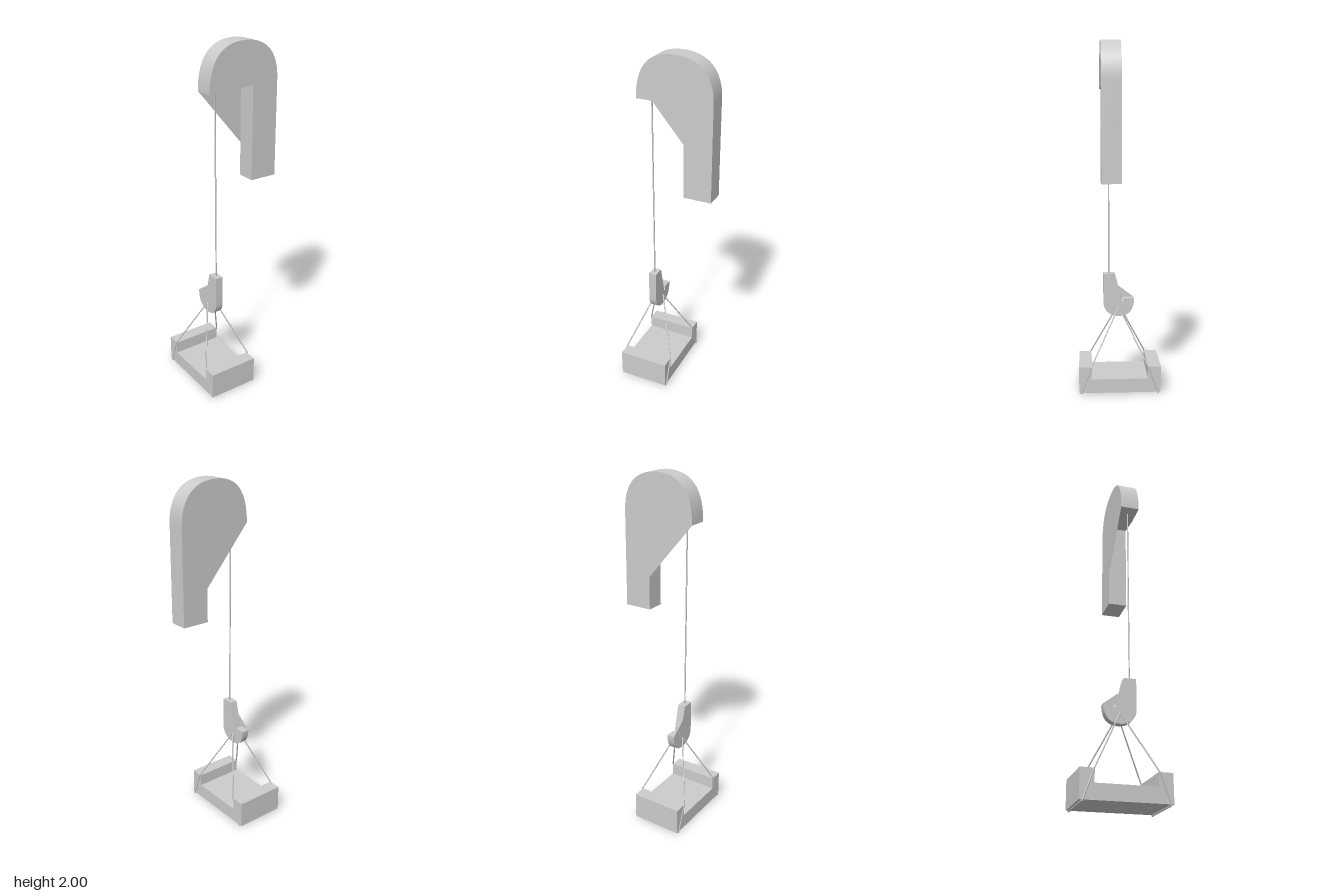
import * as THREE from 'three';
import { toCreasedNormals } from 'three/addons/utils/BufferGeometryUtils.js';

const material = new THREE.MeshStandardMaterial({ color: 0xcccccc });
const sheetMaterial = new THREE.MeshStandardMaterial({ color: 0xcccccc, side: THREE.DoubleSide });

function addMesh(parent, name, geometry, mat = material) {
  const mesh = new THREE.Mesh(geometry, mat);
  mesh.name = name;
  parent.add(mesh);
  return mesh;
}

function extrude(shape, depth) {
  const geometry = new THREE.ExtrudeGeometry(shape, { depth, bevelEnabled: false, curveSegments: 16 });
  return toCreasedNormals(geometry, 0.45);
}

// Profile drawn in (-z, y), extruded along x from x0 to x1
function extrudeAcross(shape, x0, x1) {
  return extrude(shape, x1 - x0).rotateY(Math.PI / 2).translate(x0, 0, 0);
}

function polygon(points) {
  return new THREE.Shape(points.map(([x, y]) => new THREE.Vector2(x, y)));
}

// Straight rope between two points
function addRope(parent, name, a, b, radius = 0.004) {
  const start = new THREE.Vector3(...a);
  const end = new THREE.Vector3(...b);
  const dir = end.clone().sub(start);
  const mesh = addMesh(parent, name, new THREE.CylinderGeometry(radius, radius, dir.length(), 6));
  mesh.position.copy(start).add(end).multiplyScalar(0.5);
  mesh.quaternion.setFromUnitVectors(new THREE.Vector3(0, 1, 0), dir.normalize());
}

function createArm() {
  const arm = new THREE.Group();
  arm.name = 'craneArm';
  // Arched head on an upright post
  const shape = new THREE.Shape();
  shape.moveTo(0.097, 1.24);
  shape.lineTo(0.255, 1.24);
  shape.lineTo(0.255, 1.78);
  shape.bezierCurveTo(0.255, 1.92, 0.18, 2.0, 0.04, 2.0);
  shape.bezierCurveTo(-0.1, 2.0, -0.17, 1.92, -0.173, 1.75);
  shape.lineTo(-0.03, 1.75);
  shape.lineTo(0.097, 1.77);
  shape.closePath();
  addMesh(arm, 'archedPost', extrude(shape, 0.108));
  // Thin web closing the corner at the back
  const web = polygon([[-0.173, 1.75], [0.097, 1.43], [0.097, 1.77], [-0.03, 1.75]]);
  addMesh(arm, 'cornerWeb', new THREE.ShapeGeometry(web), sheetMaterial);
  return arm;
}

function createHook() {
  const hook = new THREE.Group();
  hook.name = 'hook';
  const shape = new THREE.Shape();
  shape.moveTo(-0.09, 0.685);
  shape.lineTo(-0.09, 0.515);
  shape.bezierCurveTo(-0.09, 0.46, -0.05, 0.43, 0, 0.43);
  shape.bezierCurveTo(0.05, 0.43, 0.09, 0.455, 0.09, 0.535);
  shape.lineTo(0.03, 0.535);
  shape.quadraticCurveTo(0.03, 0.51, 0.02, 0.505);
  shape.lineTo(-0.003, 0.605);
  shape.lineTo(-0.022, 0.685);
  shape.closePath();
  addMesh(hook, 'hookBody', extrudeAcross(shape, -0.13, -0.085));
  // Thin web across the mouth on one side
  const web = polygon([[-0.003, 0.605], [0.02, 0.505], [0.03, 0.535], [0.09, 0.535]]);
  const geometry = new THREE.ShapeGeometry(web).rotateY(Math.PI / 2).translate(-0.13, 0, 0);
  addMesh(hook, 'hookWeb', geometry, sheetMaterial);
  return hook;
}

function createSlings() {
  const slings = new THREE.Group();
  slings.name = 'slings';
  const sides = [[-0.13, -0.253], [-0.083, 0.043]];
  for (const s of [-1, 1]) {
    for (const [hookX, loadX] of sides) {
      const corner = [loadX, 0.162, s * 0.165];
      addRope(slings, 'slingLeg', [hookX, 0.49, 0], corner);
      addRope(slings, 'slingSide', corner, [loadX, 0.005, s * 0.222]);
    }
    // Run beneath the load
    addRope(slings, 'slingUnder', [-0.253, 0.005, s * 0.222], [0.043, 0.005, s * 0.222], 0.005);
  }
  addRope(slings, 'slingThroughHook', [-0.13, 0.49, 0], [-0.083, 0.49, 0]);
  return slings;
}

export function createModel() {
  const model = new THREE.Group();
  model.name = 'craneWithLoad';
  model.add(createArm(), createHook(), createSlings());
  addRope(model, 'hoistRope', [-0.107, 0.68, 0.058], [-0.107, 1.76, 0.058]);
  // U-shaped load with a raised block at each end
  const load = polygon([
    [-0.235, 0.008], [0.238, 0.008], [0.238, 0.162], [0.163, 0.162],
    [0.163, 0.09], [-0.16, 0.09], [-0.16, 0.162], [-0.235, 0.162],
  ]);
  addMesh(model, 'load', extrudeAcross(load, -0.252, 0.04));
  return model;
}
